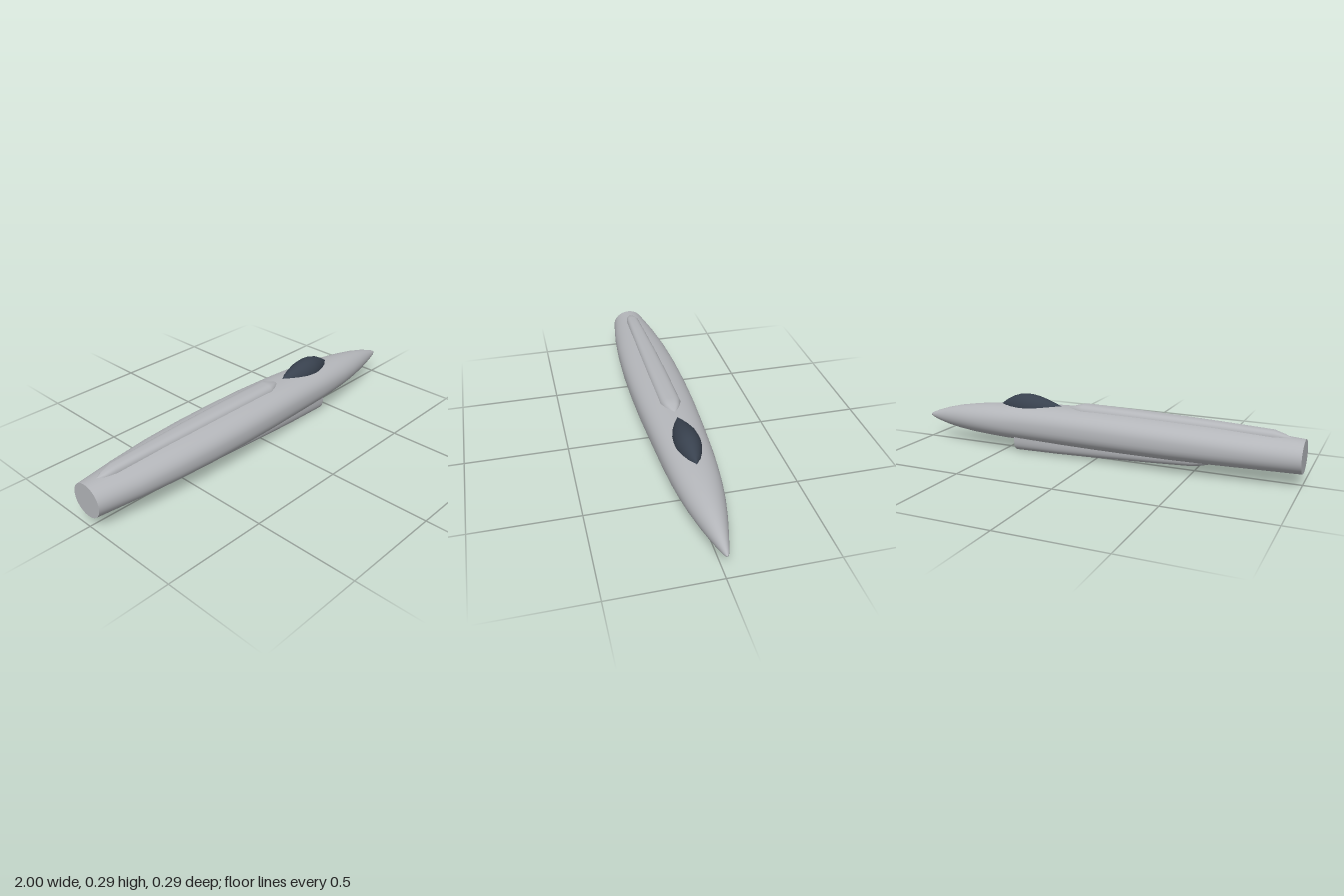
import * as THREE from 'three';

const grey = new THREE.MeshStandardMaterial({ color: 0xb4b6ba });
grey.name = 'hull grey';
const glass = new THREE.MeshStandardMaterial({ color: 0x38414e });
glass.name = 'dark glass';

// Cross-section at x: superellipse arc around height cy, from angle a0 to a1
function section(x, halfW, cy, ry, power, a0, a1, count) {
  const pts = [];
  for (let j = 0; j <= count; j++) {
    const a = a0 + ((a1 - a0) * j) / count;
    const c = Math.cos(a), s = Math.sin(a);
    pts.push([
      x,
      cy + ry * Math.sign(s) * Math.abs(s) ** (2 / power),
      halfW * Math.sign(c) * Math.abs(c) ** (2 / power),
    ]);
  }
  return pts;
}

// Skin over a row of cross-sections; closed rings share their seam
function loft(name, rows, material, closed = false) {
  const n = closed ? rows[0].length - 1 : rows[0].length;
  const index = [];
  for (let i = 0; i + 1 < rows.length; i++) {
    for (let j = 0; j < (closed ? n : n - 1); j++) {
      const k = (j + 1) % n;
      const a = i * n + j, b = a + n, c = i * n + k, d = c + n;
      index.push(a, b, c, b, d, c);
    }
  }
  const geo = new THREE.BufferGeometry();
  const pos = rows.flatMap((r) => r.slice(0, n)).flat();
  geo.setAttribute('position', new THREE.Float32BufferAttribute(pos, 3));
  geo.setIndex(index);
  geo.computeVertexNormals();
  const mesh = new THREE.Mesh(geo, material);
  mesh.name = name;
  return mesh;
}

export function createModel() {
  const model = new THREE.Group();
  model.name = 'aircraftFuselage';

  // Fuselage: x, half width, bottom, top, squareness
  const hull = [
    [-1, 0.085, 0.055, 0.212, 2], [-0.8, 0.115, 0.055, 0.222, 2.15],
    [-0.6, 0.133, 0.054, 0.232, 2.3], [-0.4, 0.142, 0.053, 0.238, 2.4],
    [-0.2, 0.144, 0.053, 0.243, 2.4], [0, 0.14, 0.053, 0.245, 2.4],
    [0.2, 0.131, 0.053, 0.243, 2.35], [0.4, 0.12, 0.053, 0.235, 2.3],
    [0.5, 0.112, 0.053, 0.229, 2.2], [0.6, 0.101, 0.055, 0.221, 2.1],
    [0.7, 0.085, 0.059, 0.209, 2], [0.8, 0.063, 0.068, 0.192, 2],
    [0.88, 0.042, 0.08, 0.172, 2], [0.94, 0.025, 0.094, 0.152, 2],
    [0.98, 0.013, 0.107, 0.136, 2], [0.995, 0.006, 0.115, 0.127, 2],
    [1, 0, 0.121, 0.121, 2],
  ].map(([x, w, lo, hi, p]) => section(x, w, (lo + hi) / 2, (hi - lo) / 2, p, 0, Math.PI * 2, 48));
  model.add(loft('fuselage', hull, grey, true));

  // Flat tail end
  const tailCentre = section(-1, 0, 0.1335, 0, 2, 0, Math.PI * 2, 48);
  model.add(loft('tailCap', [tailCentre, hull[0]], grey, true));

  // Raised parts on the back: x, half width, base, top
  const dome = (name, stations, power, material) => model.add(loft(name,
    stations.map(([x, w, lo, hi]) => section(x, w, lo, hi - lo, power, 0, Math.PI, 24)), material));

  dome('canopy', [
    [0.2, 0, 0.235, 0.243], [0.24, 0.026, 0.228, 0.256], [0.28, 0.043, 0.224, 0.269],
    [0.33, 0.057, 0.222, 0.283], [0.37, 0.06, 0.222, 0.289], [0.4, 0.06, 0.222, 0.29],
    [0.43, 0.056, 0.221, 0.287], [0.47, 0.044, 0.22, 0.274], [0.51, 0.027, 0.219, 0.252],
    [0.545, 0, 0.218, 0.227],
  ], 2, glass);

  dome('dorsalSpine', [
    [-0.94, 0.004, 0.2, 0.215], [-0.91, 0.022, 0.205, 0.226], [-0.86, 0.034, 0.205, 0.241],
    [-0.7, 0.039, 0.21, 0.248], [-0.45, 0.046, 0.215, 0.258], [-0.2, 0.05, 0.22, 0.264],
    [0.07, 0.051, 0.22, 0.268], [0.11, 0.037, 0.22, 0.259], [0.14, 0.02, 0.225, 0.249],
    [0.155, 0.004, 0.23, 0.243],
  ], 2.8, grey);

  // Belly intake: U-shaped shell, front lip and a duct running back inside it
  const scoop = ([x, w, lo]) => section(x, w, 0.085, lo - 0.085, 3.4, Math.PI, 0, 32).reverse()
    .map(([px, py, pz]) => [px, py, -pz]).reverse();
  const outer = [
    [-0.62, 0.04, 0.062], [-0.59, 0.053, 0.052], [-0.55, 0.06, 0.041], [-0.5, 0.065, 0.031],
    [-0.3, 0.075, 0.022], [0, 0.084, 0.01], [0.2, 0.088, 0.004], [0.43, 0.089, 0],
  ].map(scoop).map((row) => row.reverse());
  const inner = [
    [0.43, 0.071, 0.008], [0.2, 0.07, 0.012], [-0.1, 0.066, 0.024], [-0.45, 0.055, 0.058],
  ].map(scoop).map((row) => row.reverse());
  // Ring direction must run from -z through the bottom to +z
  for (const row of [...outer, ...inner]) if (row[0][2] > 0) row.reverse();
  model.add(loft('intakeShell', outer, grey));
  model.add(loft('intakeLip', [outer.at(-1), inner[0]], grey));
  model.add(loft('intakeDuct', inner, grey));

  return model;
}
